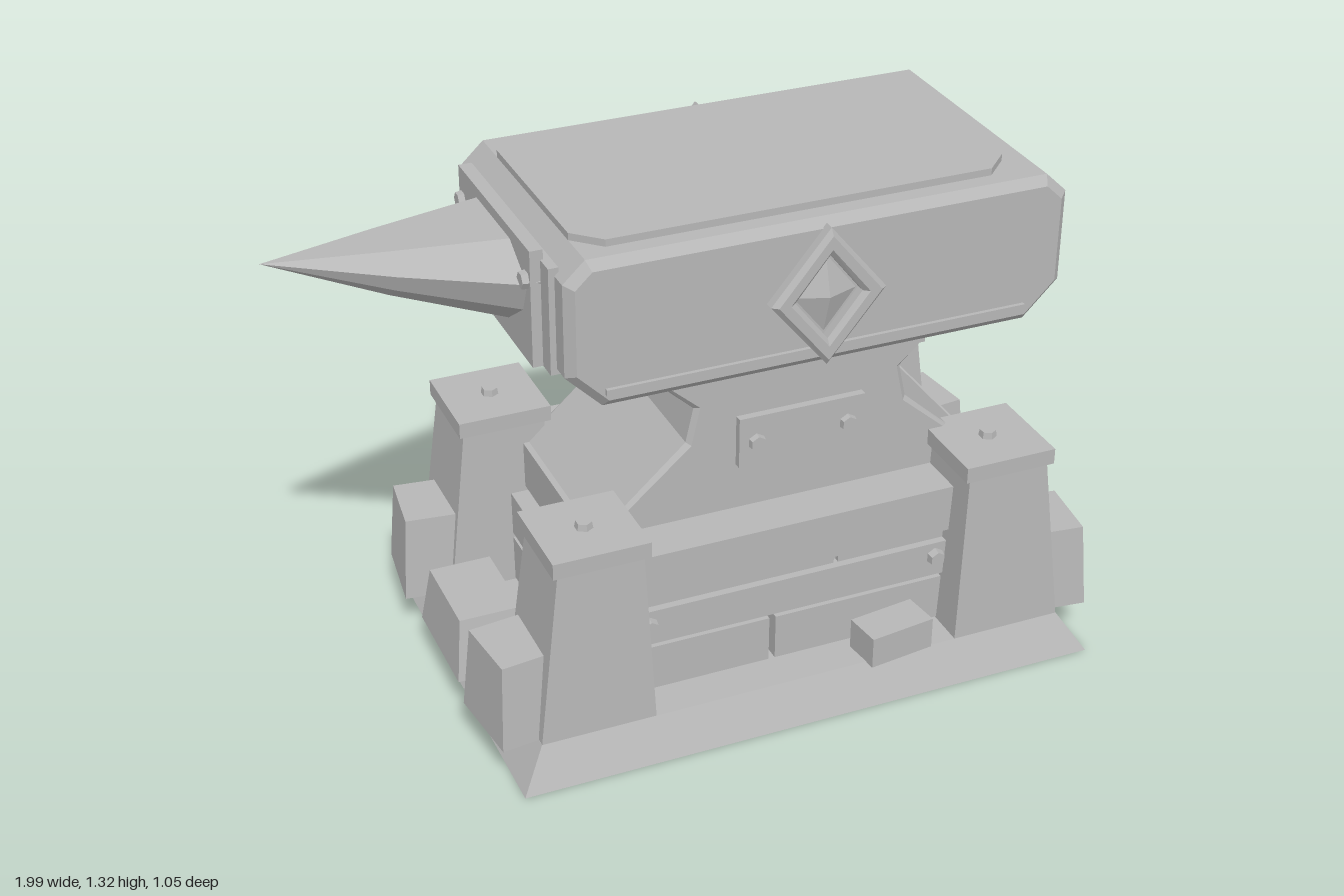
import * as THREE from 'three';

const CX = 0.17; // middle of the pedestal
const WX = 0.225; // middle of the waist and head

export function createModel() {
  const model = new THREE.Group();
  const stone = new THREE.MeshStandardMaterial({ color: 0xb6b6b6, flatShading: true });
  stone.name = 'greyStone';

  function add(name, geometry, x = 0, y = 0, z = 0) {
    const mesh = new THREE.Mesh(geometry, stone);
    mesh.name = name;
    mesh.position.set(x, y, z);
    model.add(mesh);
    return mesh;
  }

  // Box given by its limits
  function box(name, x0, x1, y0, y1, z0, z1) {
    return add(name, new THREE.BoxGeometry(x1 - x0, y1 - y0, z1 - z0),
      (x0 + x1) / 2, (y0 + y1) / 2, (z0 + z1) / 2);
  }

  // Block standing on y = 0 whose top is narrower than its foot
  function taperedBlock(footX, footZ, topX, topZ, height) {
    const g = new THREE.BoxGeometry(2, height, 2).translate(0, height / 2, 0);
    const p = g.attributes.position;
    for (let i = 0; i < p.count; i++) {
      const top = p.getY(i) > height / 2;
      p.setX(i, p.getX(i) * (top ? topX : footX));
      p.setZ(i, p.getZ(i) * (top ? topZ : footZ));
    }
    g.computeVertexNormals();
    return g;
  }

  const outline = (pts) => new THREE.Shape(pts.map(([x, y]) => new THREE.Vector2(x, y)));

  // Outline pulled through z, centred, with bevelled rims inside the outline
  function slab(shape, depth, bevel) {
    return new THREE.ExtrudeGeometry(shape, {
      depth: depth - 2 * bevel, bevelEnabled: bevel > 0, bevelSize: bevel,
      bevelThickness: bevel, bevelOffset: -bevel, bevelSegments: 1,
    }).translate(0, 0, -depth / 2 + bevel);
  }

  // Hexagonal bolt head pointing along a direction
  const up = new THREE.Vector3(0, 1, 0);
  function bolt(name, x, y, z, dx, dy, dz) {
    const head = add(name, new THREE.CylinderGeometry(0.02, 0.027, 0.04, 6), x, y, z);
    head.quaternion.setFromUnitVectors(up, new THREE.Vector3(dx, dy, dz));
  }

  // Foundation
  add('foundation', taperedBlock(0.77, 0.525, 0.705, 0.47, 0.1), CX);

  // Corner pillars with caps, bolts and leaning outer stones
  for (const sx of [-1, 1]) {
    for (const sz of [-1, 1]) {
      const pillar = taperedBlock(0.148, 0.128, 0.108, 0.11, 0.47);
      const p = pillar.attributes.position;
      for (let i = 0; i < p.count; i++) if (p.getY(i) > 0.2) p.setX(i, p.getX(i) - sx * 0.018);
      pillar.computeVertexNormals();
      add('pillar', pillar, CX + sx * 0.557, 0.095, sz * 0.342);
      add('pillarCap', new THREE.BoxGeometry(0.245, 0.042, 0.245), CX + sx * 0.539, 0.58, sz * 0.34);
      bolt('pillarBolt', CX + sx * 0.539, 0.598, sz * 0.34, 0, 1, 0);
      const stoneBlock = add('cornerStone', taperedBlock(0.1, 0.11, 0.085, 0.09, 0.225),
        CX + sx * 0.712, 0.098, sz * 0.336);
      stoneBlock.rotation.y = -sx * sz * 0.12;
    }
    add('middleStone', taperedBlock(0.1, 0.15, 0.08, 0.12, 0.16), CX + sx * 0.71, 0.098, 0.005);
  }

  // Loose stones at front and back
  for (const [x, z] of [[0.415, 0.435], [-0.07, -0.435]]) {
    add('looseStone', new THREE.BoxGeometry(0.18, 0.085, 0.1), x, 0.14, z).rotation.y = 0.13;
  }

  // Stacked courses with open seams
  box('bottomCourse', -0.36, 0.105, 0.104, 0.228, -0.37, 0.37);
  box('bottomCourse', 0.122, 0.7, 0.104, 0.228, -0.37, 0.37);
  box('middleCourse', -0.36, 0.7, 0.242, 0.338, -0.375, 0.375);
  box('thinCourse', -0.36, 0.285, 0.338, 0.36, -0.355, 0.355);
  box('thinCourse', 0.297, 0.7, 0.338, 0.36, -0.355, 0.355);
  box('courseSpacer', 0.285, 0.297, 0.338, 0.38, -0.34, 0.34);
  box('topCourse', -0.32, 0.76, 0.374, 0.5, -0.38, 0.38);

  // Waist
  const half = [[0.54, 0.49], [0.295, 0.71], [0.275, 0.8], [0.42, 0.935]];
  const waist = outline([
    ...half.map(([x, y]) => [WX + x, y]),
    ...half.slice().reverse().map(([x, y]) => [WX - x, y]),
  ]);
  add('waist', slab(waist, 0.514, 0.012));

  // Head
  const head = outline([
    [-0.32, 0.925], [0.775, 0.925], [0.865, 1.015], [0.865, 1.25],
    [0.81, 1.302], [-0.355, 1.302], [-0.41, 1.25], [-0.41, 1.015],
  ]);
  add('head', slab(head, 0.74, 0.022));

  // Working face on top of the head
  const face = outline([
    [-0.29, -0.305], [0.685, -0.305], [0.748, -0.242], [0.748, 0.242],
    [0.685, 0.305], [-0.29, 0.305], [-0.355, 0.242], [-0.355, -0.242],
  ]);
  add('topPlate', slab(face, 0.03, 0), 0, 1.305, 0).rotation.x = -Math.PI / 2;

  // Diamond ornament, side ridge, waist plate and bolts on both sides
  const rhombus = (w, h) => [[w, 0], [0, h], [-w, 0], [0, -h]];
  const frame = outline(rhombus(0.147, 0.177));
  frame.holes.push(outline(rhombus(0.086, 0.108)));
  for (const s of [-1, 1]) {
    add('diamondFrame', slab(frame, 0.05, 0.012), WX, 1.115, s * 0.38);
    const gem = add('diamondGem', new THREE.ConeGeometry(1, 0.03, 4), WX, 1.115, s * 0.384);
    gem.geometry.rotateX(s * Math.PI / 2).scale(0.082, 0.102, 1);
    gem.geometry.computeVertexNormals();
    add('sideRidge', new THREE.BoxGeometry(1.08, 0.016, 0.02), 0.22, 0.972, s * 0.37);
    add('waistPlate', new THREE.BoxGeometry(0.335, 0.135, 0.04), WX, 0.692, s * 0.257);
    for (const k of [-1, 1]) {
      bolt('waistBolt', WX + k * 0.122, 0.69, s * 0.272, 0, 0, s);
      bolt('courseBolt', CX + k * 0.39, 0.3, s * 0.375, 0, 0, s);
    }
    bolt('headBolt', 0.866, 1.2, s * 0.243, 1, 0, 0);
    bolt('collarBolt', -0.446, 1.215, s * 0.225, -1, 0, 0);
  }

  // Collar behind the horn
  box('collarBack', -0.425, -0.4, 1.0, 1.27, -0.3, 0.3);
  box('collar', -0.45, -0.418, 1.0, 1.295, -0.25, 0.25);

  // Horn: faceted section narrowing to a point
  const section = [[0.12, 1.268], [0.235, 1.2], [0.2, 1.12], [0.09, 1.045],
    [-0.09, 1.045], [-0.2, 1.12], [-0.235, 1.2], [-0.12, 1.268]];
  const rings = [[-0.435, 1], [-0.72, 0.53], [-1, 0]].map(([x, k]) =>
    section.map(([z, y]) => [x, 1.255 + (y - 1.255) * k, z * k]));
  const tris = [];
  for (let r = 0; r < 2; r++) {
    for (let i = 0; i < section.length; i++) {
      const j = (i + 1) % section.length;
      const [a, b, c, d] = [rings[r][i], rings[r][j], rings[r + 1][j], rings[r + 1][i]];
      tris.push(...a, ...d, ...b);
      if (r === 0) tris.push(...b, ...d, ...c);
    }
  }
  const horn = new THREE.BufferGeometry();
  horn.setAttribute('position', new THREE.Float32BufferAttribute(tris, 3));
  horn.computeVertexNormals();
  add('horn', horn);

  return model;
}
